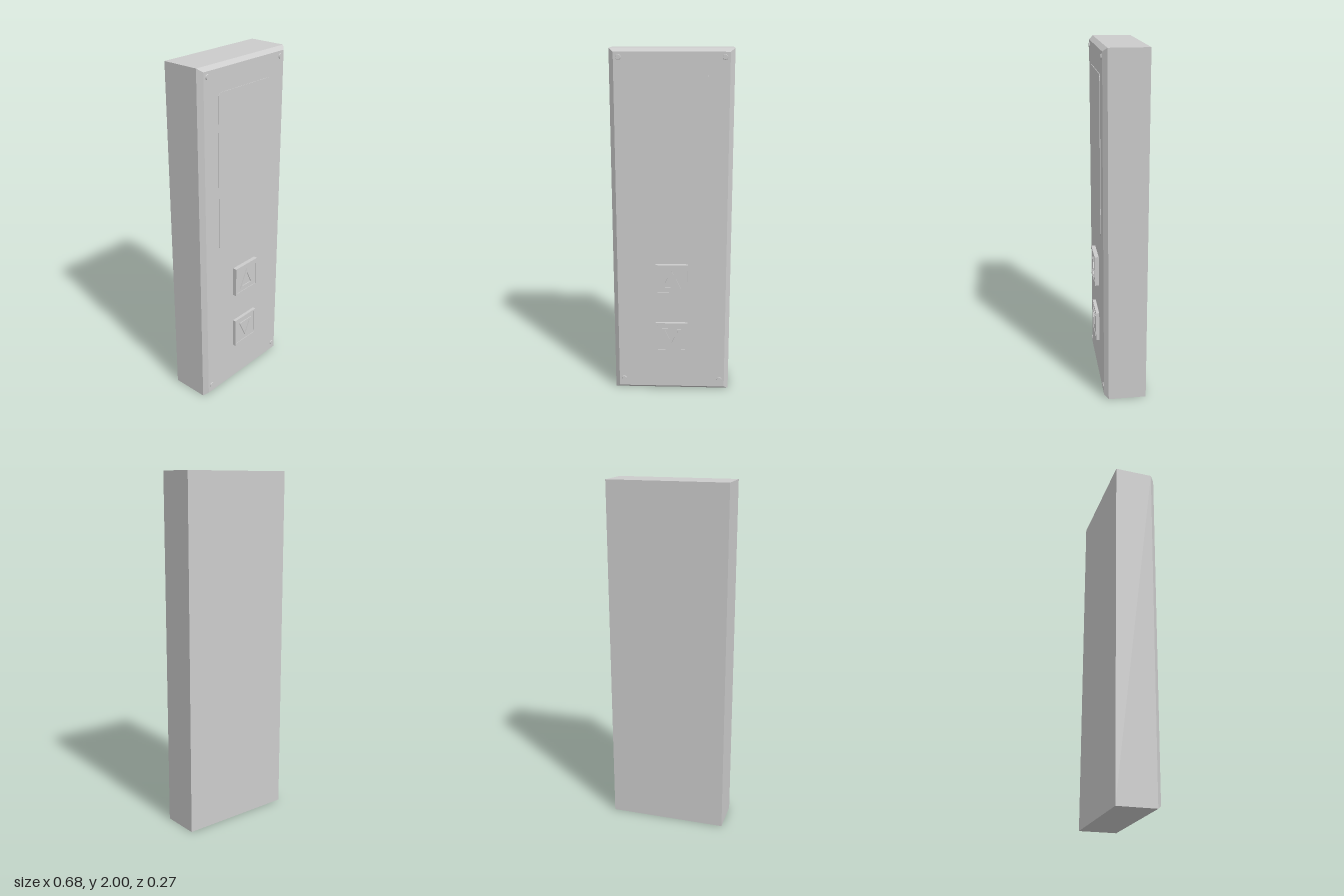
import * as THREE from 'three';

const grey = new THREE.MeshStandardMaterial({ color: 0xcccccc, flatShading: true });
const FACE = 0.107; // z of the front face

function add(parent, name, geometry, x = 0, y = 0, z = 0) {
  const mesh = new THREE.Mesh(geometry, grey);
  mesh.name = name;
  mesh.position.set(x, y, z);
  parent.add(mesh);
  return mesh;
}

// Box with a chamfered front rim
function housingGeometry() {
  const geo = new THREE.BoxGeometry(0.676, 2, 2, 1, 1, 2);
  const p = geo.attributes.position;
  for (let i = 0; i < p.count; i++) {
    const z = p.getZ(i);
    if (z > 0.5) p.setXYZ(i, p.getX(i) * 0.926, p.getY(i) * 0.98, FACE);
    else p.setZ(i, z < -0.5 ? -0.135 : 0.083);
  }
  const flat = geo.toNonIndexed();
  flat.computeVertexNormals();
  return flat;
}

const polygon = (Type, points) => new Type(points.map(([x, y]) => new THREE.Vector2(x, y)));
const rect = (w, h) => [[-w, -h], [w, -h], [w, h], [-w, h]];
const triangle = (w, low, high) => [[-w, low], [w, low], [0, high]];

function extrude(outer, inner, depth) {
  const shape = polygon(THREE.Shape, outer);
  if (inner) shape.holes.push(polygon(THREE.Path, inner));
  return new THREE.ExtrudeGeometry(shape, { depth, bevelEnabled: false });
}

// Square button: raised frame, slightly sunken cap, outlined arrow
function callButton(name, y, front, pointsUp) {
  const button = new THREE.Group();
  button.name = name;
  button.position.set(0, y, 0.1);
  const depth = front - 0.1;
  add(button, 'buttonFrame', extrude(rect(0.093, 0.09), rect(0.081, 0.078), depth));
  add(button, 'buttonCap', extrude(rect(0.081, 0.078), null, depth - 0.003));
  const arrow = add(button, 'arrowOutline',
    extrude(triangle(0.055, -0.054, 0.058), triangle(0.038, -0.044, 0.036), 0.006), 0, 0, depth - 0.004);
  if (!pointsUp) arrow.rotation.z = Math.PI;
  return button;
}

export function createModel() {
  const model = new THREE.Group();
  model.name = 'callPanel';
  add(model, 'housing', housingGeometry(), 0, 1, 0);

  // Thin display with clipped corners
  const w = 0.21, h = 0.445, c = 0.015;
  add(model, 'display', extrude([
    [-w + c, -h], [w - c, -h], [w, -h + c], [w, h - c],
    [w - c, h], [-w + c, h], [-w, h - c], [-w, -h + c],
  ], null, 0.005), 0, 1.411, 0.105);

  model.add(callButton('upButton', 0.705, 0.131, true));
  model.add(callButton('downButton', 0.345, 0.126, false));

  // Corner screws
  const screw = new THREE.CylinderGeometry(0.013, 0.016, 0.009, 20).rotateX(Math.PI / 2);
  for (const x of [-0.285, 0.285])
    for (const y of [0.067, 1.952]) add(model, 'screw', screw, x, y, 0.1075);

  return model;
}
